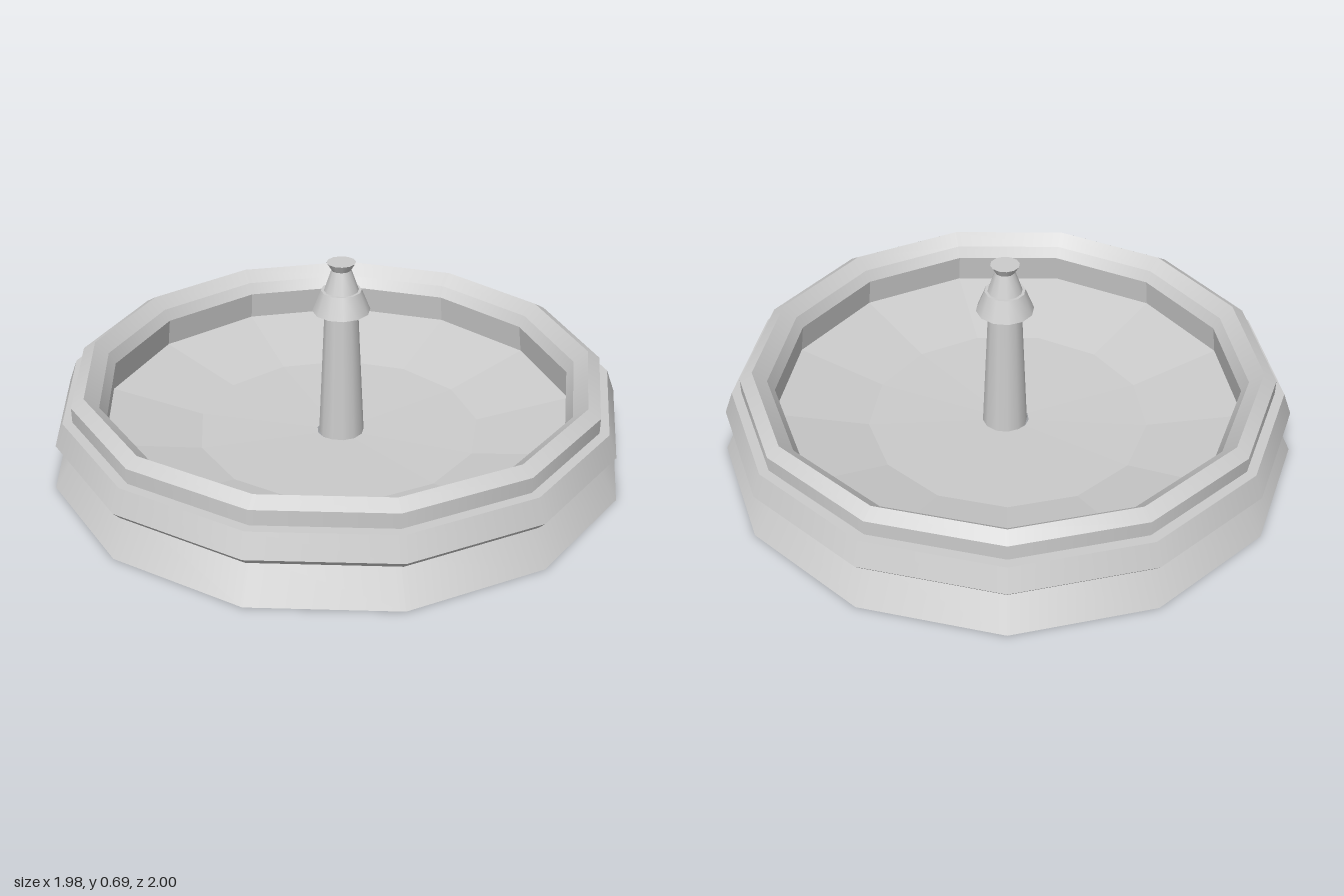
import * as THREE from 'three';
import { mergeGeometries } from 'three/addons/utils/BufferGeometryUtils.js';

// Revolves a profile of [radius, height] points, one band per segment,
// so profile edges stay sharp while each band is smooth around.
function bands(profile, sides) {
  const parts = [];
  for (let i = 0; i < profile.length - 1; i++) {
    const pts = [profile[i], profile[i + 1]].map(([r, y]) => new THREE.Vector2(r, y));
    parts.push(new THREE.LatheGeometry(pts, sides, Math.PI / 2));
  }
  return mergeGeometries(parts);
}

export function createModel() {
  const group = new THREE.Group();
  const smooth = new THREE.MeshStandardMaterial({ color: 0xcccccc, side: THREE.DoubleSide });
  const flat = new THREE.MeshStandardMaterial({ color: 0xcccccc, side: THREE.DoubleSide, flatShading: true });

  function add(name, profile, sides, material, x) {
    const mesh = new THREE.Mesh(bands(profile, sides), material);
    mesh.name = name;
    mesh.position.x = x;
    group.add(mesh);
  }

  const SIDES = 13;
  const RING_X = -0.0145; // an odd-sided ring sits slightly off its bounding centre

  // Flared foot
  add('skirt', [[1.007, 0], [0.928, 0.133]], SIDES, smooth, RING_X);

  // Stepped outer rim, over the crest and down the inner lip
  add('rim', [
    [0.928, 0.133], [0.968, 0.133], [0.993, 0.16], [0.963, 0.24], [0.93, 0.24],
    [0.93, 0.293], [0.886, 0.32], [0.838, 0.28], [0.815, 0.24],
  ], SIDES, smooth, RING_X);

  // Faceted dish with a hole in the middle for the post
  add('bowl', [
    [0.815, 0.24], [0.83, 0.135], [0.5, 0.06], [0.076, 0.043],
  ], SIDES, flat, RING_X);

  // Central post with collar and flared tip
  add('post', [
    [0.08, 0.04], [0.058, 0.515], [0.1, 0.515], [0.07, 0.59], [0.06, 0.59],
    [0.034, 0.665], [0.05, 0.692], [0, 0.692],
  ], 12, smooth, -0.004);

  return group;
}
